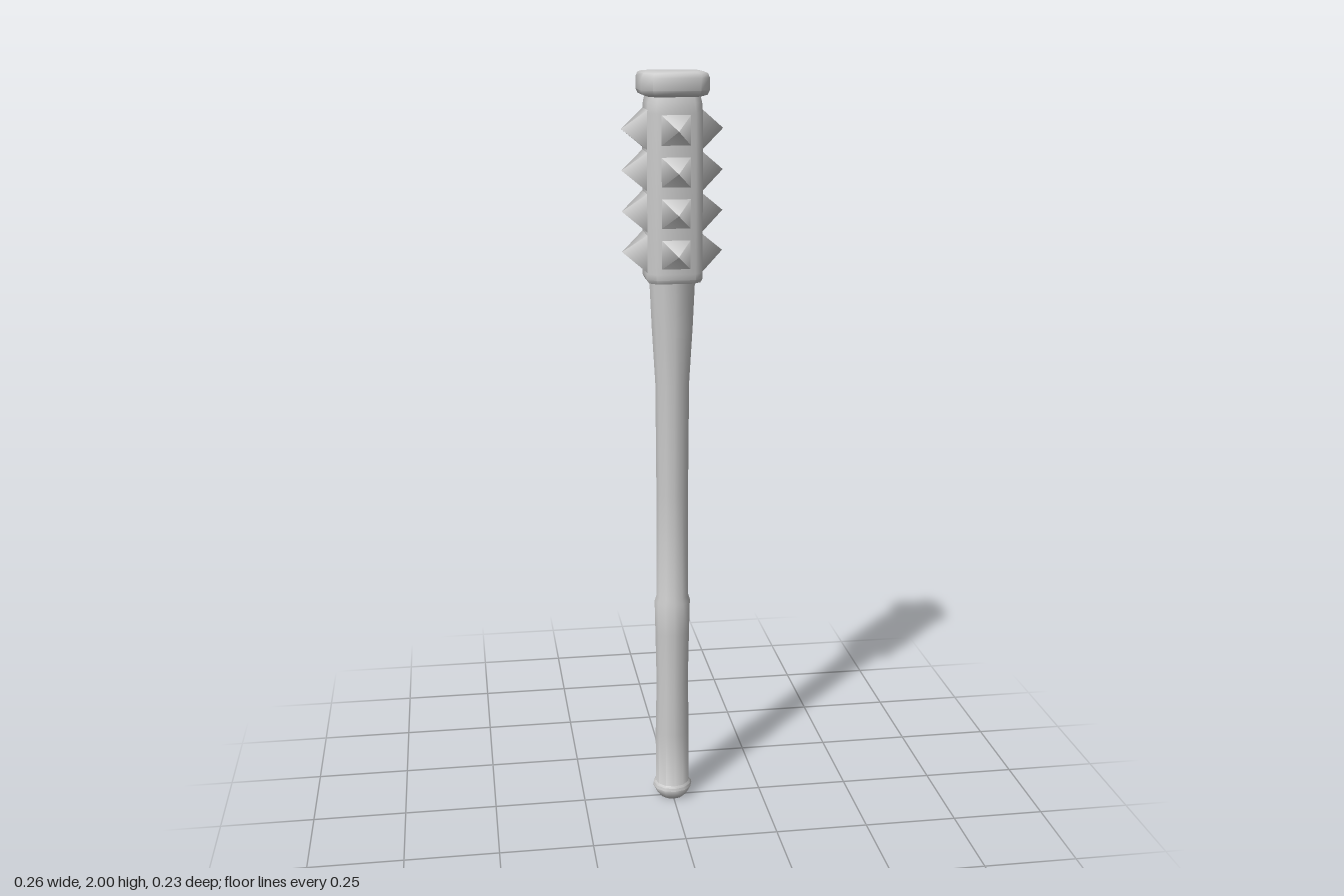
import * as THREE from 'three';
import { toCreasedNormals } from 'three/addons/utils/BufferGeometryUtils.js';

const material = new THREE.MeshStandardMaterial({ color: 0xcccccc });

// Stack of squares with cut corners; each section is [half width, y]
function squareLoft(sections) {
  const positions = [], index = [];
  for (const [w, y] of sections) {
    const c = w * 0.71;
    const ring = [[w, -c], [w, c], [c, w], [-c, w], [-w, c], [-w, -c], [-c, -w], [c, -w]];
    for (const [x, z] of ring) positions.push(x, y, z);
  }
  const last = (sections.length - 1) * 8;
  for (let s = 0; s < last; s += 8) {
    for (let i = 0; i < 8; i++) {
      const j = (i + 1) % 8;
      index.push(s + i, s + 8 + i, s + j, s + j, s + 8 + i, s + 8 + j);
    }
  }
  for (let i = 1; i < 7; i++) {
    index.push(0, i, i + 1);
    index.push(last, last + i + 1, last + i);
  }
  const geometry = new THREE.BufferGeometry();
  geometry.setAttribute('position', new THREE.Float32BufferAttribute(positions, 3));
  geometry.setIndex(index);
  geometry.computeVertexNormals();
  return toCreasedNormals(geometry, 0.9);
}

export function createModel() {
  const model = new THREE.Group();
  const club = new THREE.Group();
  club.name = 'club';
  club.position.z = -0.006;
  model.add(club);

  const add = (name, geometry, parent = club) => {
    const mesh = new THREE.Mesh(geometry, material);
    mesh.name = name;
    parent.add(mesh);
    return mesh;
  };

  // Round shaft with a pommel, a grip edge and a flare under the head
  const profile = [
    [0, 0], [0.034, 0], [0.042, 0.008], [0.055, 0.032], [0.053, 0.04], [0.047, 0.045],
    [0.047, 0.2], [0.044, 0.35], [0.047, 0.5], [0.049, 0.59], [0.044, 0.605],
    [0.043, 0.9], [0.045, 1.2], [0.054, 1.35], [0.06, 1.48],
  ].map(([r, y]) => new THREE.Vector2(r, y));
  add('shaft', toCreasedNormals(new THREE.LatheGeometry(profile, 12), 0.9));

  // Square head with cut corners
  add('head', squareLoft([
    [0.066, 1.475], [0.071, 1.485], [0.071, 1.5], [0.07, 1.9], [0.068, 1.925], [0.062, 1.95],
  ]));

  // Wider end cap
  add('cap', squareLoft([
    [0.062, 1.938], [0.08, 1.944], [0.085, 1.955], [0.085, 1.985], [0.081, 1.996], [0.072, 2],
  ]));

  // Four rows of pyramid spikes on each side of the head
  const spike = new THREE.ConeGeometry(0.05 * Math.SQRT2, 0.062, 4, 1);
  spike.rotateY(Math.PI / 4);
  spike.rotateX(Math.PI / 2);
  for (let side = 0; side < 4; side++) {
    const row = new THREE.Group();
    row.name = 'spikeRow';
    row.rotation.y = side * Math.PI / 2;
    club.add(row);
    // Spikes facing left and right reach a little further out
    const reach = side % 2 ? 0.13 : 0.116;
    for (let i = 0; i < 4; i++) {
      add('spike', spike, row).position.set(0, 1.55 + i * 0.103, reach - 0.031);
    }
  }
  return model;
}
